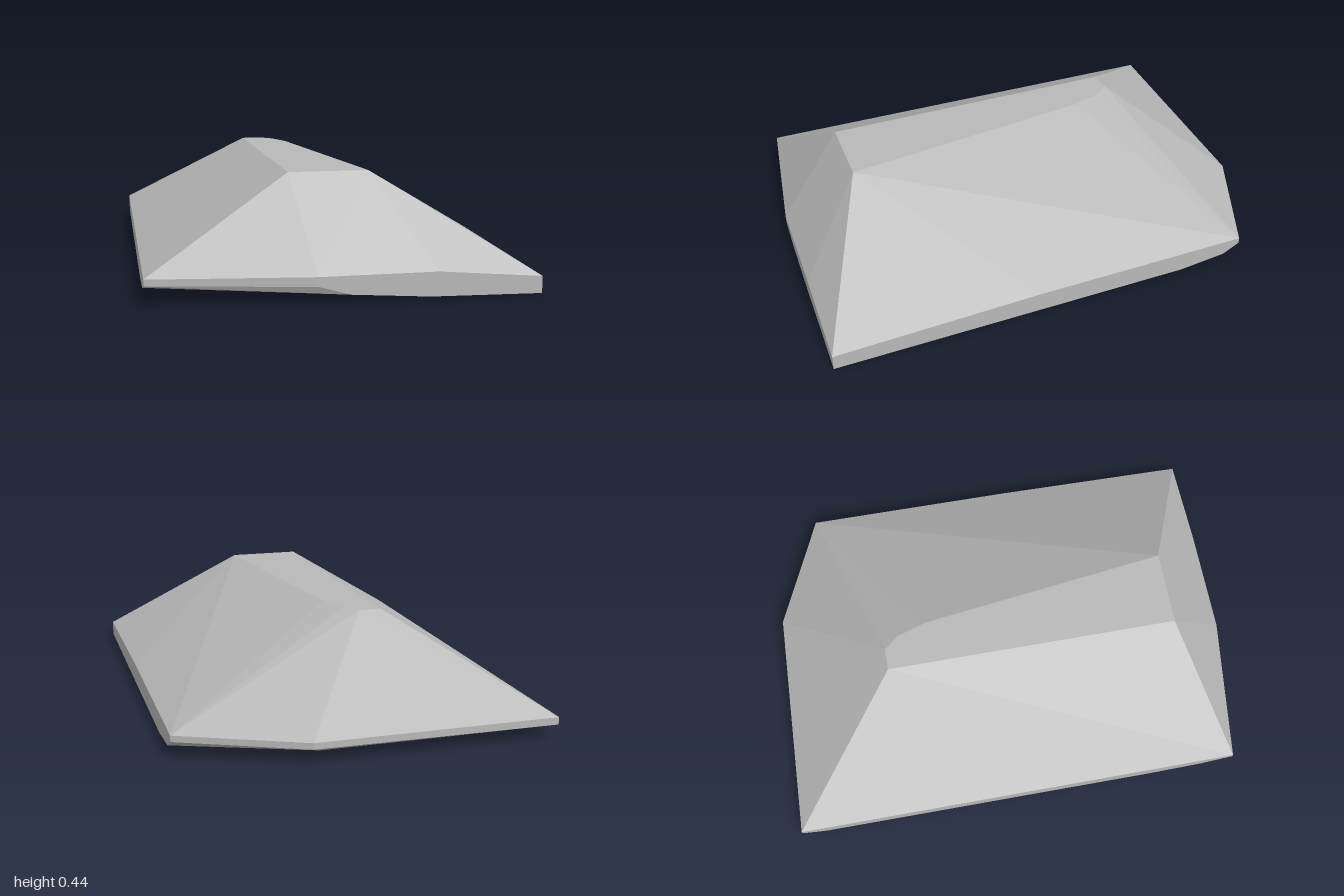
import * as THREE from 'three';
import { ConvexGeometry } from 'three/addons/geometries/ConvexGeometry.js';

export function createModel() {
  const group = new THREE.Group();
  group.name = 'facetedSlab';
  const stone = new THREE.MeshStandardMaterial({ color: 0xb8b8b8 });
  stone.name = 'stone grey';

  // Flat crest along the top
  const crest = [
    [-0.18, 0.44, 0.73], [0.13, 0.44, 0.73], [0, 0.44, -0.32],
    [-0.04, 0.44, -0.45], [-0.09, 0.44, -0.51], [-0.18, 0.44, -0.51],
  ];
  // Upper edge of the low side walls
  const rim = [
    [-0.73, 0.1, 0.92], [-0.12, 0.1, 1], [0.33, 0.1, 1], [0.73, 0.065, 1],
    [0.73, 0.09, 0.15], [0.73, 0.095, -0.77], [0.25, 0.09, -0.98], [-0.73, 0.09, -1],
  ];
  // Lower edge, curling up at the front left and the back
  const base = [
    [-0.73, 0.075, 0.92], [-0.12, 0.065, 1], [0, 0.03, 1], [0.3, 0.008, 1], [0.73, 0, 1],
    [0.73, 0.007, -0.5], [0.73, 0.03, -0.7], [0.73, 0.07, -0.77],
    [0.25, 0.065, -0.98], [0.2, 0.025, -0.9], [-0.73, 0.06, -1], [-0.73, 0.02, -0.9],
    [-0.73, 0.018, 0.55], [-0.73, 0.035, 0.78],
  ];

  // The cut stone is the convex solid around these corners
  const corners = [...crest, ...rim, ...base].map((p) => new THREE.Vector3(...p));
  const body = new THREE.Mesh(new ConvexGeometry(corners), stone);
  body.name = 'slabBody';
  group.add(body);
  return group;
}
